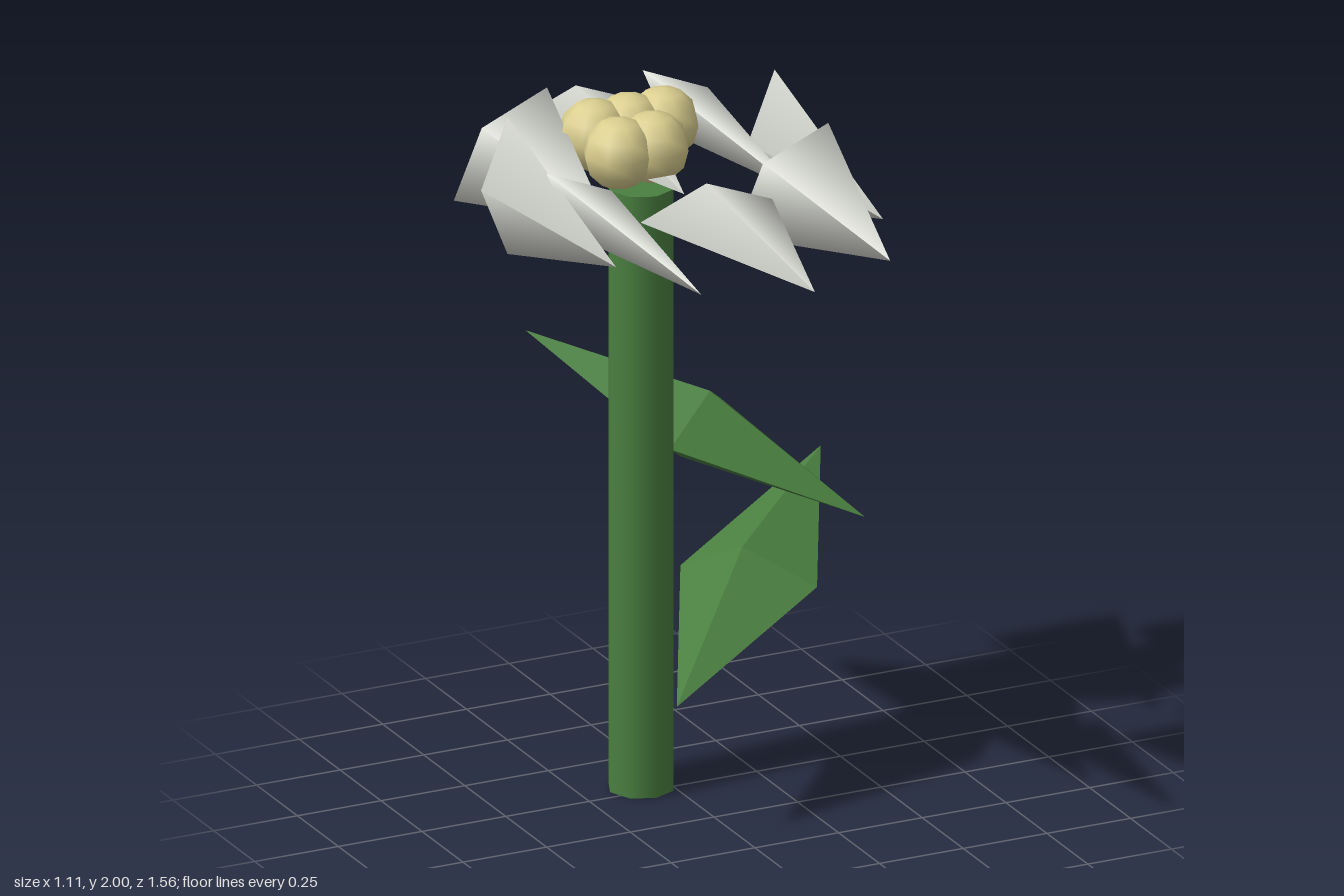
import * as THREE from 'three';

const green = new THREE.MeshStandardMaterial({ color: 0x4a8040 });
green.name = 'leaf green';
const white = new THREE.MeshStandardMaterial({ color: 0xdadcd5 });
white.name = 'petal white';
const yellow = new THREE.MeshStandardMaterial({ color: 0xdbcf8f });
yellow.name = 'pollen yellow';

// the stem axis
const CX = -0.078, CZ = -0.286;

function add(parent, name, geometry, material, x = 0, y = 0, z = 0) {
  const mesh = new THREE.Mesh(geometry, material);
  mesh.name = name;
  mesh.position.set(x, y, z);
  parent.add(mesh);
  return mesh;
}

// Stretched octahedron running from tip a to tip b, its wide axis level
function leaf(parent, name, a, b) {
  const d = b.clone().sub(a);
  const half = d.length() / 2;
  d.normalize();
  const wide = new THREE.Vector3().crossVectors(d, new THREE.Vector3(0, 1, 0)).normalize();
  const normal = new THREE.Vector3().crossVectors(d, wide);
  const geometry = new THREE.OctahedronGeometry(1, 0).scale(0.2, 0.109, half);
  const mesh = add(parent, name, geometry, green);
  mesh.quaternion.setFromRotationMatrix(new THREE.Matrix4().makeBasis(wide, normal, d));
  mesh.position.copy(a).add(b).multiplyScalar(0.5);
}

export function createModel() {
  const flower = new THREE.Group();
  flower.name = 'flower';

  // Stem
  add(flower, 'stem', new THREE.CylinderGeometry(0.0925, 0.0925, 1.735, 8), green, CX, 0.8675, CZ);

  // Two leaves
  leaf(flower, 'upperLeaf', new THREE.Vector3(-0.182, 1.16, -0.78), new THREE.Vector3(0.493, 0.75, -0.085));
  leaf(flower, 'lowerLeaf', new THREE.Vector3(-0.187, 0.405, 0.155), new THREE.Vector3(0.55, 0.81, -0.472));

  // Ring of flattened four-sided cones, all pointing forward, each rolled by its ring angle
  const petals = new THREE.Group();
  petals.name = 'petals';
  flower.add(petals);
  const petal = new THREE.ConeGeometry(0.197, 0.663, 4)
    .translate(0, 0.3315, 0)
    .rotateX(Math.PI / 2)
    .scale(1, 0.4, 1);
  for (let i = 0; i < 8; i++) {
    const t = (i * Math.PI) / 4;
    const mesh = add(petals, 'petal', petal, white, CX + 0.399 * Math.sin(t), 1.803, CZ + 0.399 * Math.cos(t));
    mesh.rotation.z = t;
  }

  // Cluster of five balls: three behind, two in front
  const centre = new THREE.Group();
  centre.name = 'centre';
  flower.add(centre);
  const ball = new THREE.SphereGeometry(0.1, 8, 6);
  for (const [x, z] of [[-1, -1], [0, -1], [1, -1], [-1, 1], [0, 1]]) {
    add(centre, 'pollenBall', ball, yellow, CX + x * 0.103, 1.873, CZ + z * 0.075);
  }

  return flower;
}
